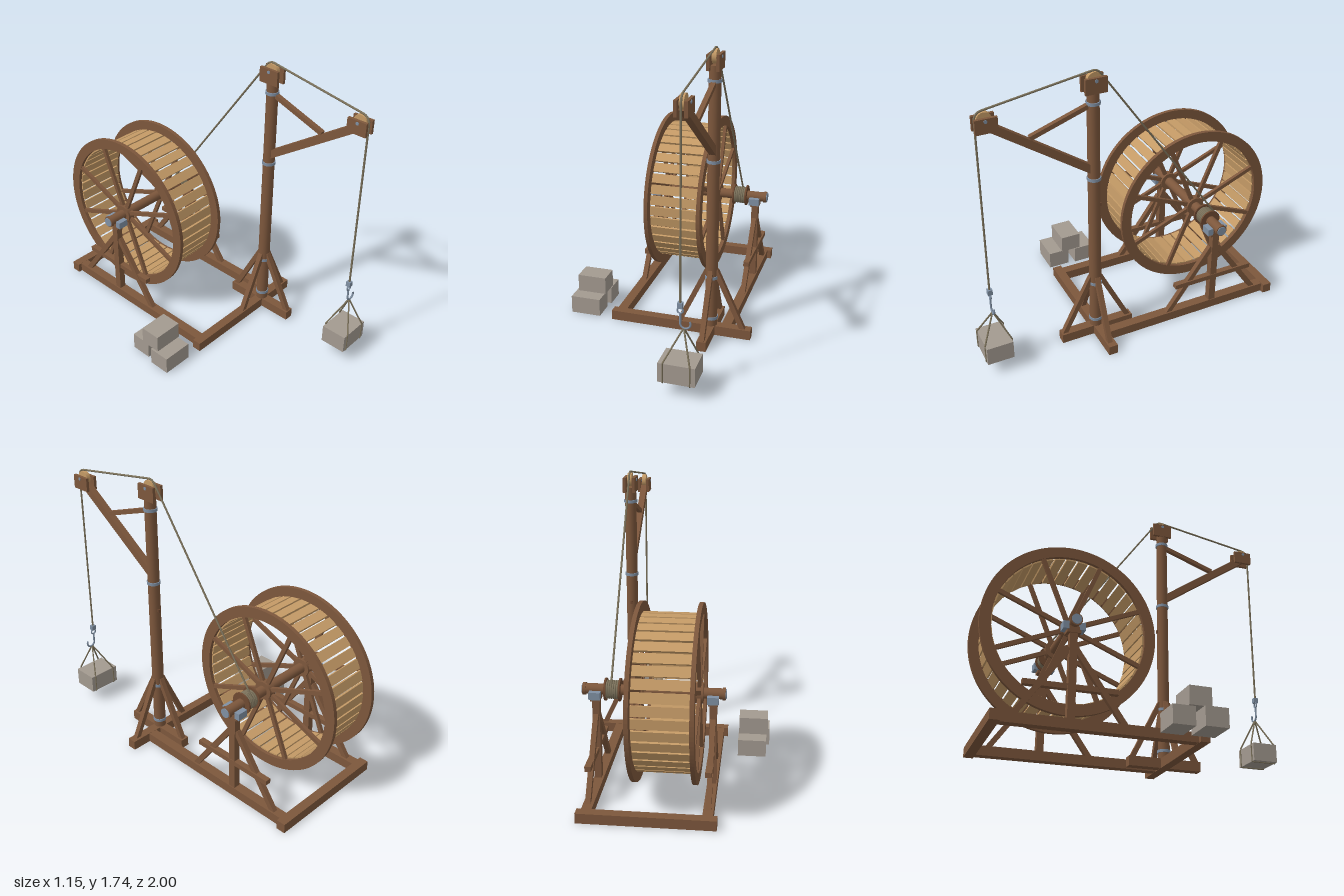
import * as THREE from 'three';

const mat = (name, color) => Object.assign(new THREE.MeshStandardMaterial({ color }), { name });

export function createModel() {
  const model = new THREE.Group();
  model.name = 'treadwheelCrane';
  const wood = mat('oak wood', 0x7d573c);
  const darkWood = mat('dark wood', 0x6f4a32);
  const plank = mat('pale planks', 0xc49a66);
  const steel = mat('steel', 0x8090a3);
  const rope = mat('rope', 0x7d735c);
  const stone = mat('stone', 0xa39a90);
  const V = (x, y, z) => new THREE.Vector3(x, y, z);
  const UP = V(0, 1, 0);

  const add = (name, geo, material, x = 0, y = 0, z = 0, parent = model) => {
    const m = new THREE.Mesh(geo, material);
    m.name = name;
    m.position.set(x, y, z);
    parent.add(m);
    return m;
  };
  // Box given by its limits on each axis
  const box = (name, material, x0, x1, y0, y1, z0, z1) =>
    add(name, new THREE.BoxGeometry(x1 - x0, y1 - y0, z1 - z0), material,
      (x0 + x1) / 2, (y0 + y1) / 2, (z0 + z1) / 2);
  // Square timber between two points
  const beam = (name, a, b, w, d, material = wood) => {
    const m = add(name, new THREE.BoxGeometry(w, a.distanceTo(b), d), material);
    m.position.copy(a).lerp(b, 0.5);
    m.quaternion.setFromUnitVectors(UP, b.clone().sub(a).normalize());
    return m;
  };
  // Cylinder lying along x
  const roller = (name, material, r, x0, x1, y, z, sides = 20) =>
    add(name, new THREE.CylinderGeometry(r, r, x1 - x0, sides).rotateZ(Math.PI / 2), material, (x0 + x1) / 2, y, z);
  const cord = (name, pts, r, segs, material = rope) => {
    const path = new THREE.CurvePath();
    for (let i = 1; i < pts.length; i++) path.add(new THREE.LineCurve3(pts[i - 1], pts[i]));
    return add(name, new THREE.TubeGeometry(path, segs, r, 6), material);
  };

  // Ground frame
  box('frontSill', wood, -0.303, 0.57, 0, 0.06, 0.238, 0.294);
  box('rearSill', wood, -0.303, 0.47, 0, 0.06, -0.925, -0.868);
  for (const x of [-0.25, 0.416]) box('sideSill', wood, x - 0.029, x + 0.029, 0.001, 0.059, -0.87, 0.24);
  box('mastFoot', wood, 0.297, 0.353, 0.001, 0.061, 0.035, 0.5);

  // Treadwheel
  const WY = 0.613, WZ = -0.49, WX = -0.003;
  const ring = new THREE.Shape().absarc(0, 0, 0.51, 0, Math.PI * 2);
  ring.holes.push(new THREE.Path().absarc(0, 0, 0.446, 0, Math.PI * 2, true));
  const rimGeo = new THREE.ExtrudeGeometry(ring, { depth: 0.024, bevelEnabled: false, curveSegments: 56 });
  rimGeo.translate(0, 0, -0.012).rotateY(Math.PI / 2);
  for (const s of [-1, 1]) {
    const x = WX + s * 0.169;
    add('wheelRim', rimGeo, wood, x, WY, WZ);
    roller('wheelHub', wood, 0.058, x - 0.022, x + 0.022, WY, WZ, 16);
    for (let i = 0; i < 8; i++) {
      const a = (i + 0.5) * Math.PI / 4, c = Math.cos(a), n = Math.sin(a);
      beam('spoke', V(x, WY + 0.04 * n, WZ + 0.04 * c), V(x, WY + 0.455 * n, WZ + 0.455 * c), 0.02, 0.025);
    }
  }
  const plankGeo = new THREE.BoxGeometry(0.32, 0.014, 0.058);
  for (let i = 0; i < 40; i++) {
    const a = i * Math.PI / 20;
    const p = add('treadPlank', plankGeo, plank, WX, WY + 0.444 * Math.cos(a), WZ + 0.444 * Math.sin(a));
    p.rotation.x = a;
  }

  // Axle with end collars, and winding drum
  roller('axle', wood, 0.031, -0.312, 0.488, WY, WZ);
  for (const [x, s] of [[-0.31, -1], [0.485, 1]]) {
    roller('axleCollar', wood, 0.036, x - 0.009, x + 0.009, WY, WZ);
    roller('axleCap', steel, 0.029, x + s * 0.011 - 0.003, x + s * 0.011 + 0.003, WY, WZ);
  }
  for (const x of [0.28, 0.362]) roller('drumFlange', darkWood, 0.066, x - 0.005, x + 0.005, WY, WZ, 16);
  roller('drum', wood, 0.044, 0.28, 0.362, WY, WZ);
  for (let i = 0; i < 6; i++)
    add('ropeWrap', new THREE.TorusGeometry(0.048, 0.007, 6, 24).rotateY(Math.PI / 2), rope, 0.291 + i * 0.012, WY, WZ);

  // Wheel trestles
  for (const x of [-0.25, 0.42]) {
    box('trestlePost', wood, x - 0.021, x + 0.021, 0.055, 0.59, WZ - 0.022, WZ + 0.022);
    for (const s of [-1, 1]) {
      beam('trestleBrace', V(x, 0.045, WZ + s * 0.315), V(x, 0.46, WZ + s * 0.02), 0.03, 0.032);
      box('bearingCheek', steel, x - 0.033, x + 0.033, 0.568, 0.612, WZ + s * 0.047 - 0.017, WZ + s * 0.047 + 0.017);
    }
    box('trestleTie', wood, x - 0.012, x + 0.024, 0.226, 0.256, WZ - 0.268, WZ + 0.268);
    box('bearingSeat', wood, x - 0.028, x + 0.028, 0.55, 0.59, WZ - 0.04, WZ + 0.04);
  }

  // Mast, iron bands and raking braces
  const MX = 0.325, MZ = 0.27;
  add('mast', new THREE.CylinderGeometry(0.035, 0.037, 1.64, 16), wood, MX, 0.82, MZ);
  for (const y of [0.11, 0.376, 1.092, 1.555])
    add('mastBand', new THREE.CylinderGeometry(0.041, 0.041, 0.018, 16), steel, MX, y, MZ);
  for (const s of [-1, 1]) {
    beam('mastBrace', V(MX + s * 0.2, 0.045, MZ), V(MX + s * 0.025, 0.42, MZ), 0.03, 0.03);
    beam('mastBrace', V(MX, 0.045, MZ + s * 0.215), V(MX, 0.42, MZ + s * 0.025), 0.03, 0.03);
  }
  box('mastPeg', darkWood, MX - 0.008, MX + 0.008, 0.9, 0.92, 0.228, 0.25);

  // Jib and strut
  beam('jib', V(MX, 1.15, 0.28), V(MX, 1.565, 0.885), 0.04, 0.046);
  beam('jibStrut', V(MX, 1.545, 0.29), V(MX, 1.425, 0.635), 0.028, 0.026);

  // Pulley heads: two cheeks and a sheave
  const head = (y0, y1, z0, z1, sy, sz) => {
    for (const s of [-1, 1]) {
      const x = MX + s * 0.028;
      box('pulleyCheek', wood, x - 0.009, x + 0.009, y0, y1, z0, z1);
    }
    roller('sheave', plank, 0.042, MX - 0.013, MX + 0.013, sy, sz);
    roller('sheavePin', steel, 0.01, MX - 0.04, MX + 0.04, sy, sz, 10);
  };
  head(1.615, 1.705, 0.2, 0.328, 1.688, 0.265);
  head(1.52, 1.603, 0.808, 0.93, 1.588, 0.873);

  // Hoisting rope over both sheaves
  const run = [V(MX, 0.647, -0.535)];
  const wrap = (y, z, a0, a1) => {
    for (let i = 0; i <= 8; i++) {
      const a = a0 + (a1 - a0) * i / 8;
      run.push(V(MX, y + 0.048 * Math.sin(a), z + 0.048 * Math.cos(a)));
    }
  };
  wrap(1.688, 0.265, 2.53, 1.4);
  wrap(1.588, 0.873, 1.4, 0);
  run.push(V(MX, 0.5, 0.921));
  cord('hoistRope', run, 0.006, 220);

  // Hook
  const HZ = 0.92;
  box('hookBlock', steel, MX - 0.014, MX + 0.014, 0.502, 0.534, HZ - 0.014, HZ + 0.014);
  add('hookEye', new THREE.TorusGeometry(0.016, 0.005, 6, 14), steel, MX, 0.487, HZ);
  add('hookShank', new THREE.CylinderGeometry(0.006, 0.006, 0.06, 8), steel, MX, 0.443, HZ);
  const hook = add('hookBend', new THREE.TorusGeometry(0.028, 0.006, 6, 20, Math.PI * 1.2), steel, MX + 0.028, 0.413, HZ);
  hook.rotation.z = Math.PI;

  // Slung stone load
  box('loadStone', stone, 0.222, 0.428, 0.087, 0.2, 0.836, 0.995);
  for (const s of [-1, 1]) {
    const x = MX + s * 0.075;
    for (const z of [0.834, 0.997]) cord('sling', [V(MX + 0.02, 0.388, HZ), V(x, 0.202, z)], 0.005, 4);
    cord('slingLoop', [V(x, 0.202, 0.834), V(x, 0.085, 0.834), V(x, 0.085, 0.997), V(x, 0.202, 0.997)], 0.004, 40);
  }

  // Stacked stones beside the frame
  box('stackStone', stone, -0.556, -0.38, 0, 0.107, -0.03, 0.1);
  box('stackStone', stone, -0.577, -0.39, 0, 0.11, 0.145, 0.28);
  box('stackStone', stone, -0.564, -0.383, 0.11, 0.218, 0.062, 0.192);

  return model;
}
